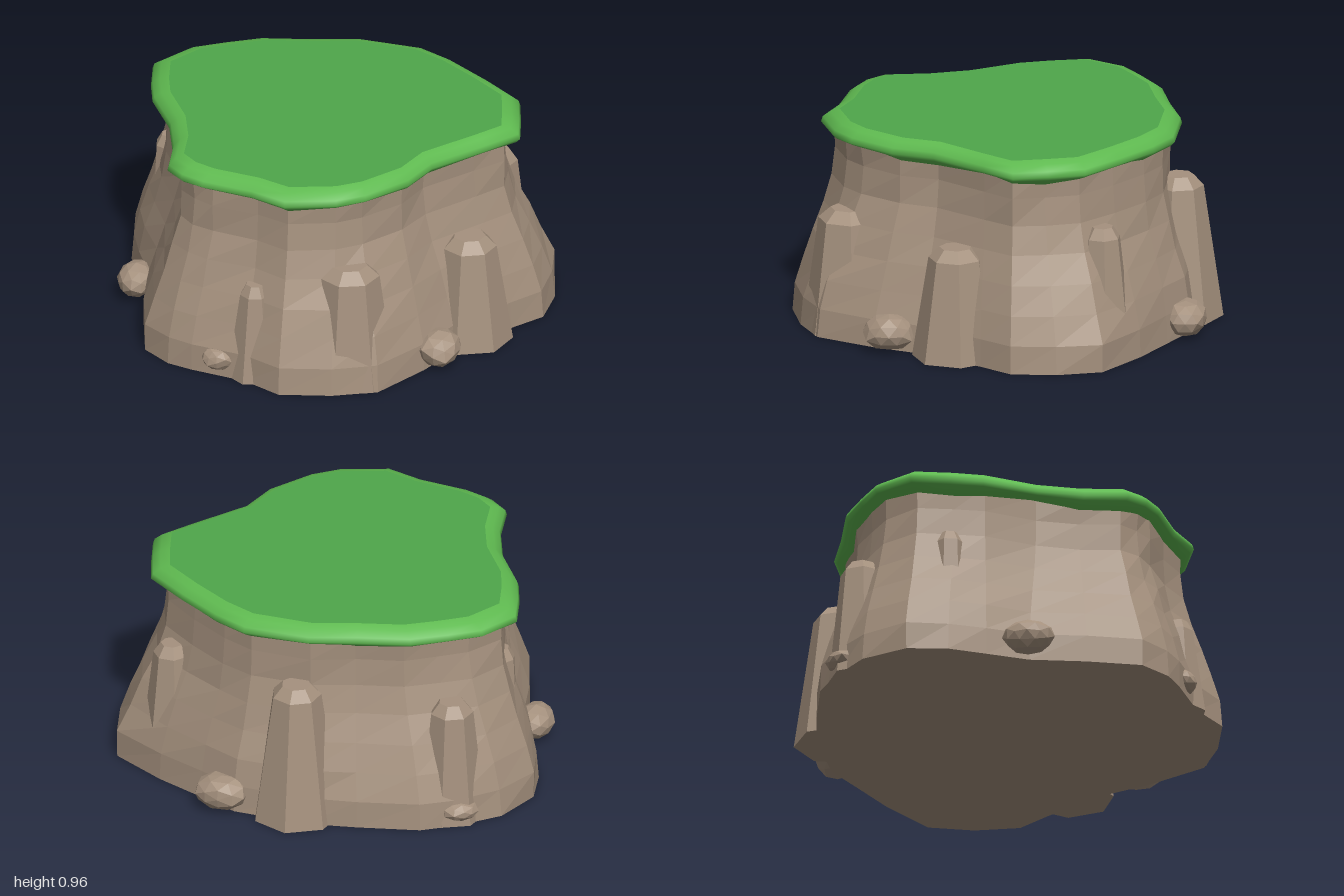
import * as THREE from 'three';

// Plan outline, clockwise from the back: grass x, grass z, foot x, foot z
const OUTLINE = [
  [-0.04, -0.80, -0.05, -0.88], [0.27, -0.77, 0.30, -0.84], [0.43, -0.68, 0.48, -0.74],
  [0.62, -0.53, 0.70, -0.62], [0.80, -0.37, 0.94, -0.45], [0.84, -0.20, 0.99, -0.24],
  [0.87, -0.04, 0.98, -0.03], [0.75, 0.10, 0.86, 0.11], [0.54, 0.33, 0.66, 0.38],
  [0.47, 0.52, 0.56, 0.60], [0.31, 0.71, 0.40, 0.86], [0.19, 0.79, 0.20, 0.94],
  [-0.04, 0.85, -0.04, 0.98], [-0.21, 0.78, -0.22, 0.88], [-0.45, 0.73, -0.48, 0.82],
  [-0.56, 0.68, -0.60, 0.78], [-0.64, 0.60, -0.73, 0.67], [-0.66, 0.40, -0.79, 0.42],
  [-0.72, 0.19, -0.83, 0.16], [-0.85, -0.05, -0.91, -0.03], [-0.89, -0.20, -0.98, -0.20],
  [-0.92, -0.38, -1.00, -0.39], [-0.80, -0.55, -0.90, -0.60], [-0.66, -0.63, -0.72, -0.74],
  [-0.50, -0.71, -0.57, -0.82], [-0.26, -0.75, -0.28, -0.86],
];
const N = OUTLINE.length;

// Repeatable value in -1..1
const noise = (a, b) => {
  const s = Math.sin(a * 12.99 + b * 78.23) * 43758.55;
  return (s - Math.floor(s)) * 2 - 1;
};

// Skin over closed rings listed from bottom to top; optional flat bottom
function loft(rings, bottom = false) {
  const pos = rings.flat(2);
  const idx = [];
  for (let r = 0; r < rings.length - 1; r++) {
    for (let i = 0; i < N; i++) {
      const j = (i + 1) % N, a = r * N + i, c = r * N + j;
      idx.push(a, a + N, c, c, a + N, c + N);
    }
  }
  if (bottom) {
    const centre = pos.length / 3;
    pos.push(0, rings[0][0][1], 0);
    for (let i = 0; i < N; i++) idx.push(centre, i, (i + 1) % N);
  }
  const g = new THREE.BufferGeometry();
  g.setAttribute('position', new THREE.Float32BufferAttribute(pos, 3));
  g.setIndex(idx);
  g.computeVertexNormals();
  return g;
}

export function createModel() {
  const model = new THREE.Group();
  const material = (name, color, flatShading) => {
    const m = new THREE.MeshStandardMaterial({ color, flatShading });
    m.name = name;
    return m;
  };
  const stone = material('brown stone', 0xa5917e, true);
  const rim = material('light grass', 0x5fba50, false);
  const turf = material('grass', 0x4fa64b, false);
  const add = (name, geometry, mat) => {
    const mesh = new THREE.Mesh(geometry, mat);
    mesh.name = name;
    model.add(mesh);
    return mesh;
  };

  // Cliff: height and how far each ring flares towards the foot
  const cliff = [[0, 1], [0.13, 0.97], [0.26, 0.76], [0.39, 0.52], [0.52, 0.24], [0.65, 0.05], [0.78, 0], [0.9, 0.02]];
  add('cliff', loft(cliff.map(([y, t], r) => OUTLINE.map(([gx, gz, bx, bz], i) => {
    const s = r === 0 ? 1 : 1 + 0.009 * noise(i, r);
    return [
      THREE.MathUtils.lerp(gx * 0.91, bx, t) * s,
      y,
      THREE.MathUtils.lerp(gz * 0.925, bz, t) * s,
    ];
  })), true), stone);

  // Grass rim: scale, height, and wave of the hanging edge
  const lip = [[0.87, 0.88, 0], [0.92, 0.862, 0.018], [0.98, 0.882, 0.004], [1, 0.897, 0],
    [0.99, 0.922, 0], [0.95, 0.948, 0], [0.9, 0.96, 0]];
  add('grassRim', loft(lip.map(([s, y, wave]) => OUTLINE.map(([x, z]) =>
    [x * s, y + wave * Math.sin(7 * Math.atan2(z, x)), z * s]))), rim);

  // Flat grass top
  const top = new THREE.Shape(OUTLINE.map(([x, z]) => new THREE.Vector2(x * 0.9, -z * 0.9)));
  add('grassTop', new THREE.ShapeGeometry(top).rotateX(-Math.PI / 2).translate(0, 0.96, 0), turf);

  // Buttresses: x, z, height, foot radius, top radius, turn (0 puts a corner outwards)
  const face = Math.PI / 7;
  [
    [0.235, 0.72, 0.57, 0.21, 0.14, face],
    [0.69, 0.225, 0.52, 0.20, 0.125, face],
    [0.02, -0.785, 0.67, 0.205, 0.115, 0],
    [0.685, -0.445, 0.62, 0.15, 0.085, face],
    [-0.67, -0.62, 0.58, 0.155, 0.10, 0],
    [-0.80, -0.21, 0.66, 0.10, 0.07, 0],
    [-0.19, 0.79, 0.46, 0.13, 0.07, 0],
  ].forEach(([x, z, h, foot, head, turn]) => {
    const profile = [[0, 0], [foot, 0], [head, h - 0.05], [head * 0.6, h], [0, h]];
    const g = new THREE.LatheGeometry(profile.map(p => new THREE.Vector2(...p)), 7);
    const p = add('buttress', g, stone);
    p.position.set(x, 0, z);
    p.rotation.y = Math.atan2(x, z) + turn;
  });

  // Boulders: x, y, z and half sizes
  [
    [0.61, 0.09, 0.53, 0.105, 0.085, 0.12],
    [0.36, 0.09, -0.82, 0.13, 0.085, 0.105],
    [-0.88, 0.09, 0.16, 0.085, 0.08, 0.115],
    [-0.35, 0.08, 0.83, 0.08, 0.055, 0.06],
    [-0.72, 0.07, -0.70, 0.09, 0.05, 0.08],
  ].forEach(([x, y, z, sx, sy, sz], k) => {
    const g = new THREE.IcosahedronGeometry(1, 1);
    const p = g.attributes.position;
    const v = new THREE.Vector3();
    for (let i = 0; i < p.count; i++) {
      v.fromBufferAttribute(p, i);
      const n = Math.sin(v.x * 3.1 + k) * Math.sin(v.y * 2.7 + k * 2) * Math.cos(v.z * 3.7);
      v.multiplyScalar(1 + 0.1 * n);
      p.setXYZ(i, v.x, v.y, v.z);
    }
    const rock = add('boulder', g, stone);
    rock.scale.set(sx, sy, sz);
    rock.position.set(x, y, z);
  });

  return model;
}
